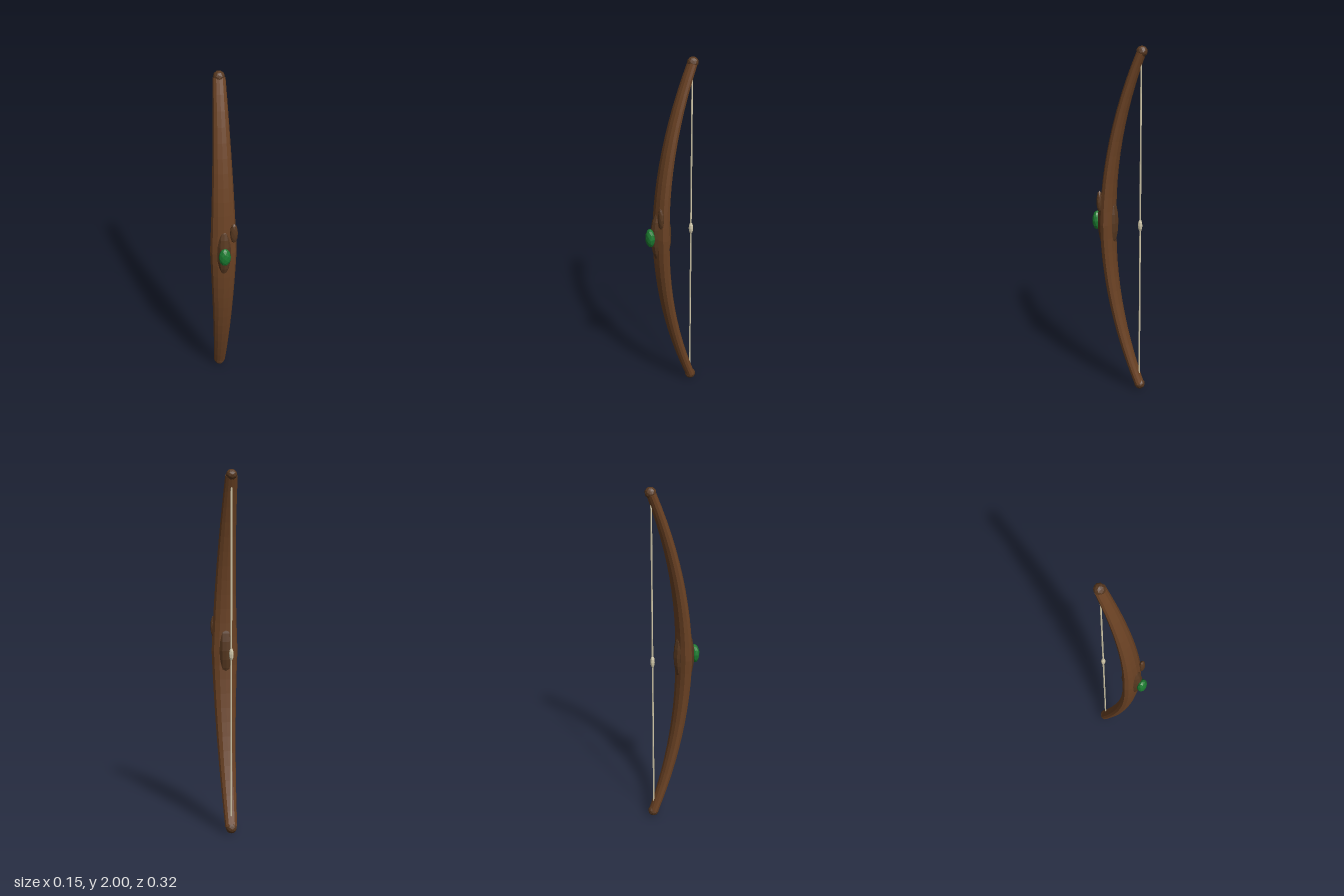
import * as THREE from 'three';

const mat = (color) => new THREE.MeshStandardMaterial({ color, flatShading: true });

// Limb: elliptical rings swept along a parabola, thinning towards both tips
function limbGeometry(rows = 24, sides = 12) {
  const pos = [], index = [];
  for (let i = 0; i <= rows; i++) {
    const t = (i / rows) * 2 - 1, a = Math.abs(t);
    const y = 1 + 0.965 * t, z = 0.065 - 0.19 * t * t;
    const halfW = 0.074 - 0.04 * a, halfD = 0.041 - 0.016 * a;
    const tilt = Math.atan2(-0.38 * t, 0.965);
    for (let j = 0; j < sides; j++) {
      const ang = (j / sides) * Math.PI * 2;
      const d = Math.cos(ang) * halfD;
      pos.push(Math.sin(ang) * halfW, y - d * Math.sin(tilt), z + d * Math.cos(tilt));
    }
  }
  for (let i = 0; i < rows; i++) {
    for (let j = 0; j < sides; j++) {
      const k = (j + 1) % sides;
      const a = i * sides + j, b = i * sides + k;
      index.push(a, b, b + sides, a, b + sides, a + sides);
    }
  }
  // End caps
  const last = rows * sides;
  for (let j = 1; j < sides - 1; j++) {
    index.push(0, j + 1, j, last, last + j, last + j + 1);
  }
  const geo = new THREE.BufferGeometry();
  geo.setAttribute('position', new THREE.Float32BufferAttribute(pos, 3));
  geo.setIndex(index);
  geo.computeVertexNormals();
  return geo;
}

export function createModel() {
  const group = new THREE.Group();
  const wood = mat(0x6b4224), darkWood = mat(0x573820);
  const gemGreen = mat(0x1b7a30), cord = mat(0xcfc6a8);

  const add = (name, geo, material, position, scale = [1, 1, 1]) => {
    const mesh = new THREE.Mesh(geo, material);
    mesh.name = name;
    mesh.position.set(...position);
    mesh.scale.set(...scale);
    group.add(mesh);
    return mesh;
  };

  add('limb', limbGeometry(), wood, [0, 0, 0]);

  // Swollen grip and small arrow rest on the model's left
  add('grip', new THREE.SphereGeometry(1, 12, 10), darkWood, [0, 1.005, 0.066], [0.047, 0.165, 0.061]);
  add('arrowRest', new THREE.IcosahedronGeometry(1, 1), darkWood, [0.054, 1.135, 0.094], [0.022, 0.063, 0.016]);

  // Faceted gem set into the front of the grip
  add('gem', new THREE.IcosahedronGeometry(1, 1), gemGreen, [0, 1.005, 0.132], [0.034, 0.056, 0.026]);

  // Knobs capping the limb tips
  for (const [name, y] of [['upperTip', 1.97], ['lowerTip', 0.03]]) {
    add(name, new THREE.IcosahedronGeometry(0.031, 1), darkWood, [0, y, -0.128]);
  }

  // String with its nocking bead
  add('string', new THREE.CylinderGeometry(0.005, 0.005, 1.94, 6), cord, [0, 1, -0.125]);
  add('nockingBead', new THREE.SphereGeometry(1, 8, 6), cord, [0, 1.005, -0.125], [0.013, 0.035, 0.013]);

  return group;
}
